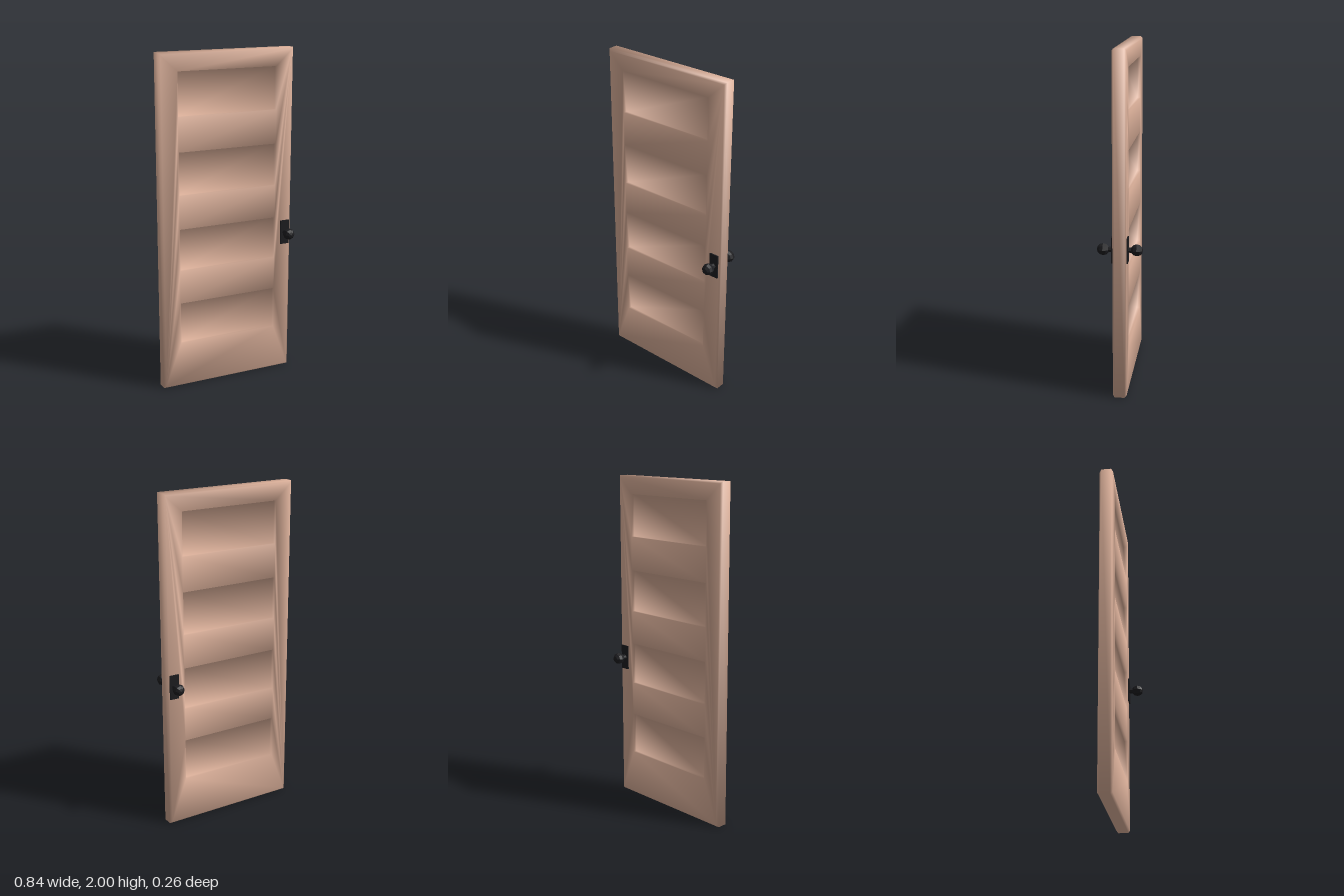
import * as THREE from 'three';
import { mergeVertices } from 'three/addons/utils/BufferGeometryUtils.js';

const HALF_W = 0.422, HEIGHT = 2, HALF_D = 0.04, BEVEL = 0.011;
const RECESS = 0.02, PANEL_HALF_W = 0.31, PANEL_H = 0.253;
const PANEL_BOTTOMS = [0.277, 0.732, 1.186, 1.642];

// Rectangle corners, counter-clockwise seen from the front
const rect = (hw, y0, y1, z) =>
  [[-hw, y0], [hw, y0], [hw, y1], [-hw, y1]].map(([x, y]) => new THREE.Vector3(x, y, z));

// Angle-weighted smooth normals on a welded geometry
function smoothNormals(geo) {
  const p = geo.attributes.position, idx = geo.index.array;
  const sums = Array.from({ length: p.count }, () => new THREE.Vector3());
  const at = (i) => new THREE.Vector3().fromBufferAttribute(p, i);
  for (let t = 0; t < idx.length; t += 3) {
    for (let k = 0; k < 3; k++) {
      const i = idx[t + k], a = at(i);
      const u = at(idx[t + (k + 1) % 3]).sub(a), v = at(idx[t + (k + 2) % 3]).sub(a);
      sums[i].addScaledVector(u.clone().cross(v).normalize(), u.angleTo(v));
    }
  }
  const out = sums.flatMap((n) => n.normalize().toArray());
  geo.setAttribute('normal', new THREE.Float32BufferAttribute(out, 3));
  return geo;
}

function slabGeometry() {
  const pos = [];
  let side = 1;
  // Adds a triangle, mirrored and re-wound for the back
  const tri = (a, b, c) => {
    for (const v of side > 0 ? [a, b, c] : [a, c, b]) pos.push(v.x, v.y, v.z * side);
  };
  const quad = (a, b, c, d) => { tri(a, b, c); tri(a, c, d); };
  const ring = (A, B) => A.forEach((a, i) => {
    const j = (i + 1) % 4;
    quad(a, A[j], B[j], B[i]);
  });

  const edge = (z) => rect(HALF_W, 0, HEIGHT, z);
  const rim = rect(HALF_W - BEVEL, BEVEL, HEIGHT - BEVEL, HALF_D);
  ring(edge(-HALF_D + BEVEL), edge(HALF_D - BEVEL));

  const shape = new THREE.Shape(rim.map((v) => new THREE.Vector2(v.x, v.y)));
  for (const y of PANEL_BOTTOMS) {
    const hole = rect(PANEL_HALF_W, y, y + PANEL_H, 0).map((v) => new THREE.Vector2(v.x, v.y));
    shape.holes.push(new THREE.Path(hole.reverse()));
  }
  const face = new THREE.ShapeGeometry(shape);
  const fp = face.attributes.position, fi = face.index.array;
  const corner = (i) => new THREE.Vector3(fp.getX(i), fp.getY(i), HALF_D);

  for (side of [1, -1]) {
    ring(edge(HALF_D - BEVEL), rim);                       // chamfer
    for (let t = 0; t < fi.length; t += 3) {               // pierced frame face
      tri(corner(fi[t]), corner(fi[t + 1]), corner(fi[t + 2]));
    }
    for (const y of PANEL_BOTTOMS) {                       // sunken panels
      const floor = rect(PANEL_HALF_W, y, y + PANEL_H, HALF_D - RECESS);
      ring(rect(PANEL_HALF_W, y, y + PANEL_H, HALF_D), floor);
      quad(...floor);
    }
  }
  const geo = new THREE.BufferGeometry();
  geo.setAttribute('position', new THREE.Float32BufferAttribute(pos, 3));
  return smoothNormals(mergeVertices(geo, 1e-4));
}

export function createModel() {
  const wood = new THREE.MeshStandardMaterial({ color: 0xd9ae98 });
  wood.name = 'paleWood';
  const iron = new THREE.MeshStandardMaterial({ color: 0x1c1c1f, flatShading: true });
  iron.name = 'blackIron';

  const model = new THREE.Group();
  model.name = 'door';
  const add = (parent, name, geo, mat, x, y, z) => {
    const mesh = new THREE.Mesh(geo, mat);
    mesh.name = name;
    mesh.position.set(x, y, z);
    parent.add(mesh);
    return mesh;
  };

  add(model, 'doorSlab', slabGeometry(), wood, 0, 0, -0.002);

  // Handle set on each face
  for (const s of [1, -1]) {
    const handle = new THREE.Group();
    handle.name = s > 0 ? 'frontHandle' : 'backHandle';
    handle.position.set(0.38, 0.886, -0.001);
    if (s < 0) handle.rotation.y = Math.PI;
    add(handle, 'backplate', new THREE.BoxGeometry(0.058, 0.148, 0.012), iron, 0, 0, 0.041);
    const neck = add(handle, 'neck', new THREE.CylinderGeometry(0.016, 0.016, 0.03, 8), iron, 0, 0, 0.057);
    const knob = add(handle, 'knob', new THREE.SphereGeometry(0.035, 8, 6), iron, 0, 0, 0.095);
    neck.rotation.x = knob.rotation.x = Math.PI / 2;
    model.add(handle);
  }
  return model;
}
